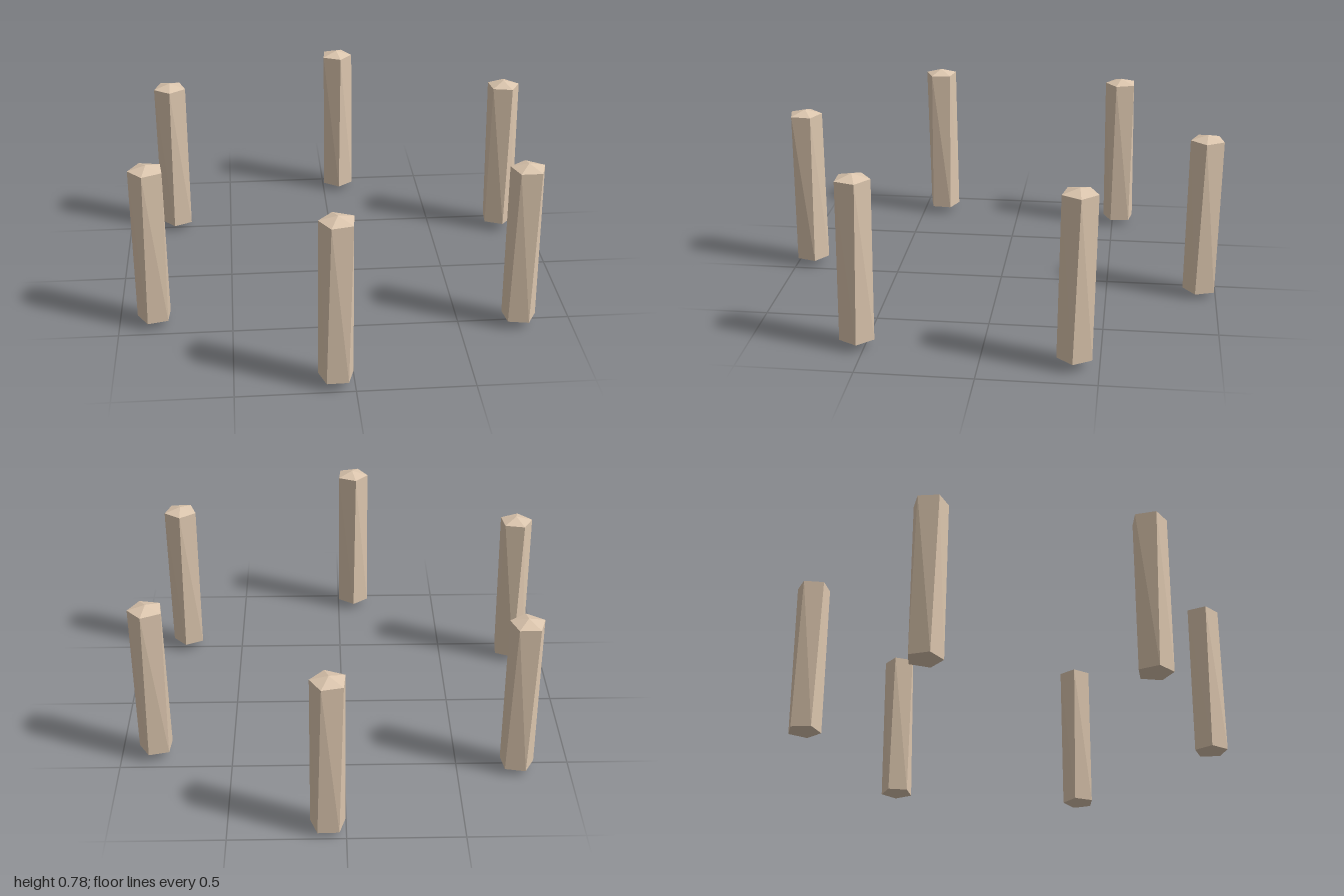
import * as THREE from 'three';

const RAD = Math.PI / 180;
const HEIGHT = 0.765;

// Five-sided post with shallow pointed ends, slightly twisted and leaning toward its base
function postGeometry() {
  const profile = [[0, 0], [0.078, 0.024], [0.078, HEIGHT - 0.022], [0, HEIGHT]]
    .map(([r, y]) => new THREE.Vector2(r, y));
  const geometry = new THREE.LatheGeometry(profile, 5, 85 * RAD);
  const p = geometry.attributes.position;
  const v = new THREE.Vector3();
  const up = new THREE.Vector3(0, 1, 0);
  for (let i = 0; i < p.count; i++) {
    v.fromBufferAttribute(p, i);
    const down = 1 - v.y / HEIGHT;
    v.applyAxisAngle(up, -12 * RAD * down);
    v.x += 0.007 * down;
    p.setXYZ(i, v.x, v.y, v.z);
  }
  geometry.computeVertexNormals();
  return geometry;
}

export function createModel() {
  const model = new THREE.Group();
  model.name = 'postRing';
  const material = new THREE.MeshStandardMaterial({ color: 0xdcc6ae, flatShading: true });
  const geometry = postGeometry();

  // Six posts in a ring, each standing at a slightly different height
  const baseHeights = [0, 0.019, 0.016, 0.012, 0.01, 0.006];
  baseHeights.forEach((y, i) => {
    const arm = new THREE.Group();
    arm.name = `postMount${i + 1}`;
    arm.rotation.y = -i * 60 * RAD;
    const post = new THREE.Mesh(geometry, material);
    post.name = `post${i + 1}`;
    post.position.set(0.07, y, -0.928);
    arm.add(post);
    model.add(arm);
  });
  return model;
}
